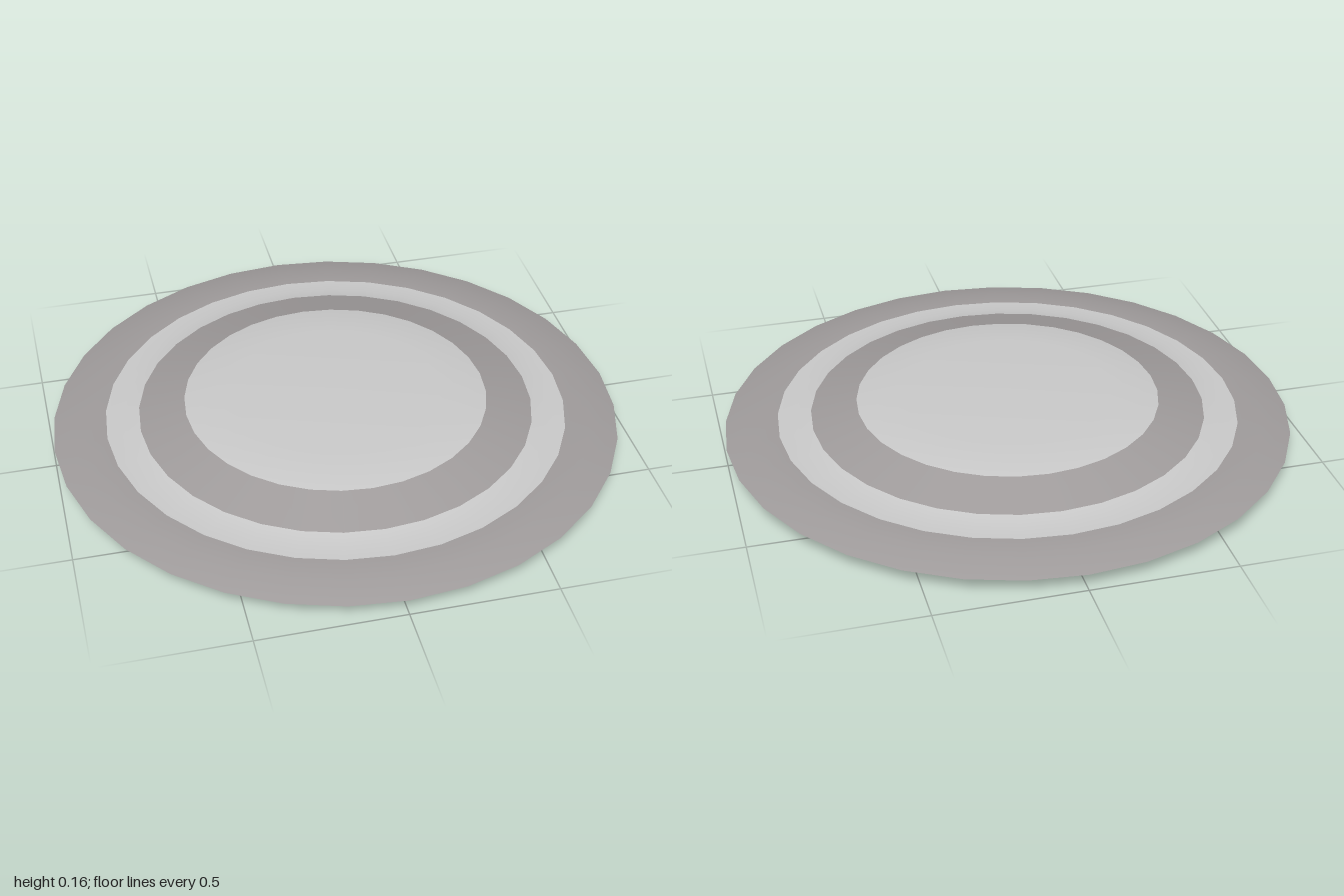
import * as THREE from 'three';

const SEGMENTS = 32;

export function createModel() {
  const group = new THREE.Group();
  const light = new THREE.MeshStandardMaterial({ color: 0xcccccc, side: THREE.DoubleSide });
  const dark = new THREE.MeshStandardMaterial({ color: 0xa19d9d, side: THREE.DoubleSide });

  // Thin turned shell section from [radius, height] points, outside to inside
  function shell(name, profile, material) {
    const points = profile.map(([r, y]) => new THREE.Vector2(r, y));
    const mesh = new THREE.Mesh(new THREE.LatheGeometry(points, SEGMENTS), material);
    mesh.name = name;
    group.add(mesh);
  }

  // Sloping outer rim with a flat shoulder
  shell('outerRim', [[1, 0.06], [0.9, 0.084], [0.815, 0.086]], dark);
  // Shallow light band between the two dark rings
  shell('lightBand', [[0.815, 0.086], [0.75, 0.087], [0.697, 0.097]], light);
  // Conical inner ring
  shell('innerRing', [[0.697, 0.097], [0.535, 0.138]], dark);
  // Low domed cap with a flat top
  shell('cap', [[0.535, 0.138], [0.37, 0.16], [0, 0.16]], light);

  // Flat disc underneath, set slightly to the back
  const base = new THREE.Mesh(new THREE.CircleGeometry(0.375, 48), light);
  base.name = 'baseDisc';
  base.rotation.x = Math.PI / 2;
  base.position.set(0, 0, -0.1);
  group.add(base);

  return group;
}
